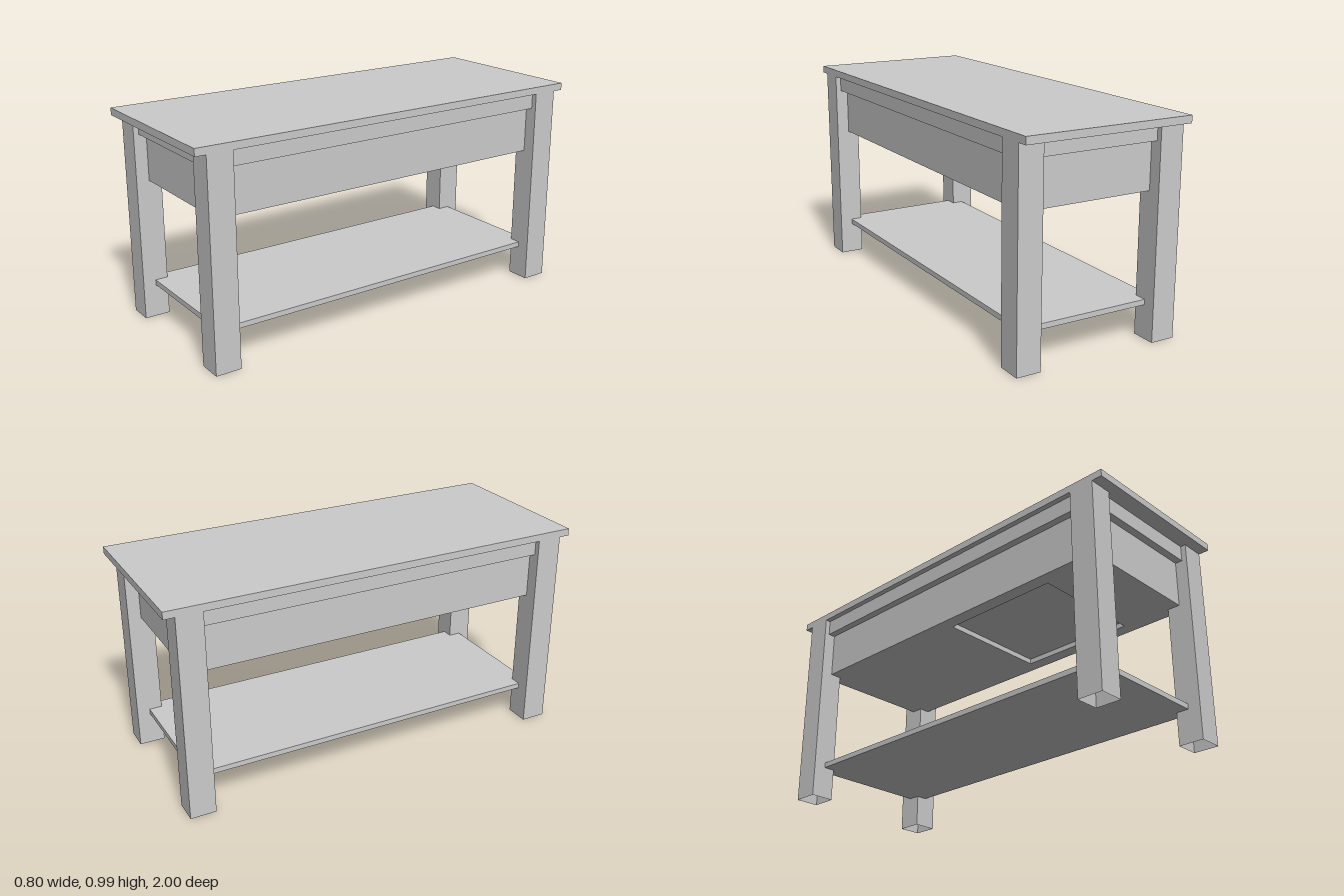
import * as THREE from 'three';

const material = new THREE.MeshStandardMaterial({ color: 0xcccccc, side: THREE.DoubleSide, flatShading: true });

// Box centred on x and z, spanning y0..y1
function slab(name, width, depth, y0, y1) {
  const mesh = new THREE.Mesh(new THREE.BoxGeometry(width, y1 - y0, depth), material);
  mesh.position.y = (y0 + y1) / 2;
  mesh.name = name;
  return mesh;
}

// Square leg, hollow and open at the foot
function leg(name, sx, sz) {
  const mesh = slab(name, 0.115, 0.12, 0, 0.96);
  const index = Array.from(mesh.geometry.index.array);
  index.splice(18, 6); // drop the bottom face
  mesh.geometry.setIndex(index);
  mesh.geometry.clearGroups();
  mesh.position.x = sx * 0.3425;
  mesh.position.z = sz * 0.89;
  return mesh;
}

// Underside plate with a rectangular recess cut through it
function apronFloor(width, depth, y0, y1) {
  const rect = (path, x0, x1, z0, z1) => {
    // Shape y becomes -z once the plate is laid flat
    path.moveTo(x0, -z0).lineTo(x1, -z0).lineTo(x1, -z1).lineTo(x0, -z1).closePath();
    return path;
  };
  const shape = rect(new THREE.Shape(), -width / 2, width / 2, -depth / 2, depth / 2);
  shape.holes.push(rect(new THREE.Path(), -0.275, 0.275, 0, 0.59));
  const geometry = new THREE.ExtrudeGeometry(shape, { depth: y1 - y0, bevelEnabled: false });
  geometry.rotateX(-Math.PI / 2);
  const mesh = new THREE.Mesh(geometry, material);
  mesh.position.y = y0;
  mesh.name = 'apronFloor';
  return mesh;
}

export function createModel() {
  const table = new THREE.Group();
  table.name = 'table';

  table.add(slab('tableTop', 0.8, 2, 0.96, 0.994));

  // Stepped apron: the upper band overhangs the deeper box below it
  table.add(slab('upperBand', 0.75, 1.85, 0.885, 0.96));
  table.add(slab('apronBox', 0.68, 1.78, 0.69, 0.885));
  table.add(apronFloor(0.68, 1.78, 0.665, 0.69));

  table.add(slab('lowerShelf', 0.68, 1.78, 0.155, 0.18));

  for (const sx of [-1, 1]) {
    for (const sz of [-1, 1]) {
      table.add(leg(`${sz > 0 ? 'front' : 'back'}${sx > 0 ? 'Left' : 'Right'}Leg`, sx, sz));
    }
  }
  return table;
}
